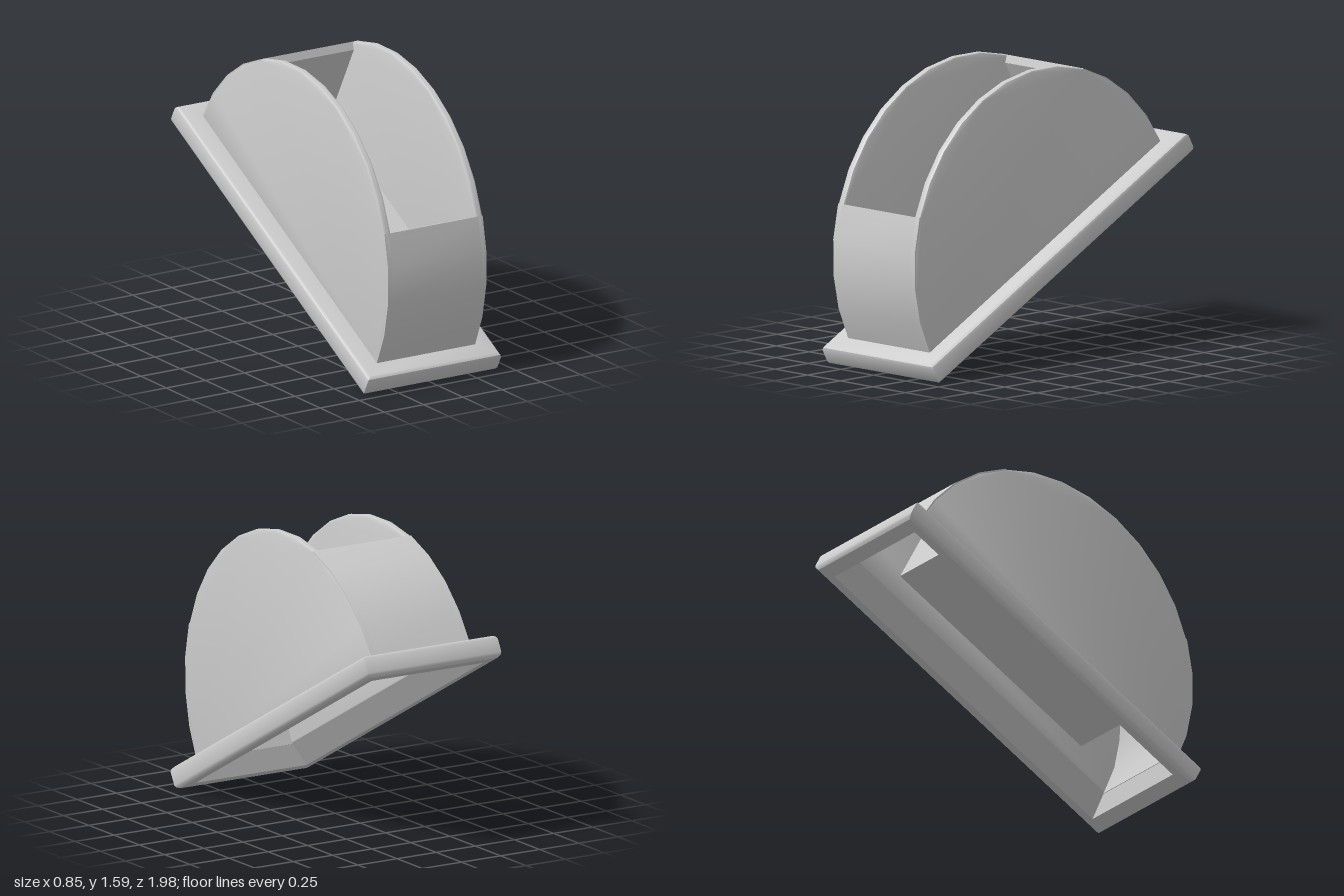
import * as THREE from 'three';
import { toCreasedNormals } from 'three/addons/utils/BufferGeometryUtils.js';

const R = 0.985, BASE = 0.115, SEGS = 16;
const INNER = 0.27, OUTER = 0.315;
const material = new THREE.MeshStandardMaterial({ color: 0xcccccc });

function part(name, geometry, crease = 0.6) {
  const mesh = new THREE.Mesh(toCreasedNormals(geometry, crease), material);
  mesh.name = name;
  return mesh;
}

// Closed profile of [halfWidth, halfLength, height] swept round a rectangle
function rectangularRing(profile) {
  const corners = [[1, 1], [1, -1], [-1, -1], [-1, 1]];
  const pos = [], index = [], n = profile.length;
  for (const [sx, sz] of corners)
    for (const [w, l, y] of profile) pos.push(sx * w, y, sz * l);
  for (let c = 0; c < 4; c++)
    for (let i = 0; i < n; i++) {
      const j = (i + 1) % n, d = ((c + 1) % 4) * n;
      const p = c * n + i, q = c * n + j, r = d + j, s = d + i;
      index.push(p, s, r, p, r, q);
    }
  const g = new THREE.BufferGeometry();
  g.setAttribute('position', new THREE.Float32BufferAttribute(pos, 3));
  g.setIndex(index);
  return g;
}

// Points on the faceted half circle, step 0 at the front
function arcPoints(radius, from, to) {
  const pts = [];
  for (let i = from; i <= to; i++) {
    const t = (i / SEGS) * Math.PI;
    pts.push(new THREE.Vector2(radius * Math.cos(t), BASE + radius * Math.sin(t)));
  }
  return pts;
}

// Extrudes a side profile (z, y) across x, centred on x = 0
function acrossX(points, width, bevel = 0) {
  const g = new THREE.ExtrudeGeometry(new THREE.Shape(points), {
    depth: width - 2 * bevel, bevelEnabled: bevel > 0, bevelSize: bevel,
    bevelThickness: bevel, bevelOffset: -bevel, bevelSegments: 2,
  });
  g.translate(0, 0, -(width - 2 * bevel) / 2);
  g.rotateY(-Math.PI / 2);
  g.scale(1, 1, 1);
  return g;
}

export function createModel() {
  const model = new THREE.Group();
  const body = new THREE.Group();
  body.name = 'tiltedBody';
  model.add(body);

  // Base frame with softened outer edges and a flared opening underneath
  body.add(part('baseFrame', rectangularRing([
    [0.405, 1.07, 0], [0.42, 1.085, 0.012], [0.425, 1.09, 0.025],
    [0.425, 1.09, 0.1], [0.42, 1.085, 0.113], [0.405, 1.07, 0.122],
    [INNER, 0.94, 0.122], [0.355, 0.99, 0],
  ])));

  // Half-round side walls with rounded rims
  for (const side of [1, -1]) {
    const wall = part(side > 0 ? 'leftWall' : 'rightWall',
      acrossX(arcPoints(R, 0, SEGS), OUTER - INNER, 0.014));
    wall.position.x = side * (INNER + OUTER) / 2;
    body.add(wall);
  }

  // Curved bands closing the shell in front of and behind the opening
  for (const [name, from, to] of [['frontBand', 0, 4], ['rearBand', 12, 16]]) {
    const outline = [...arcPoints(R, from, to), ...arcPoints(R - 0.045, from, to).reverse()];
    body.add(part(name, acrossX(outline, 2 * OUTER - 0.004)));
  }

  // Rectangular pocket: floor and two end walls
  const floor = part('pocketFloor', new THREE.BoxGeometry(2 * INNER + 0.02, 0.03, 1.36));
  floor.position.y = 0.265;
  body.add(floor);
  for (const side of [1, -1]) {
    const end = part(side > 0 ? 'pocketFrontEnd' : 'pocketRearEnd',
      new THREE.BoxGeometry(2 * INNER + 0.02, 0.53, 0.03));
    end.position.set(0, 0.515, side * 0.68);
    body.add(end);
  }

  // Lean the whole body so its rear end rises
  body.rotation.x = 0.496;
  body.position.set(0, 0.52, -0.04);
  return model;
}
